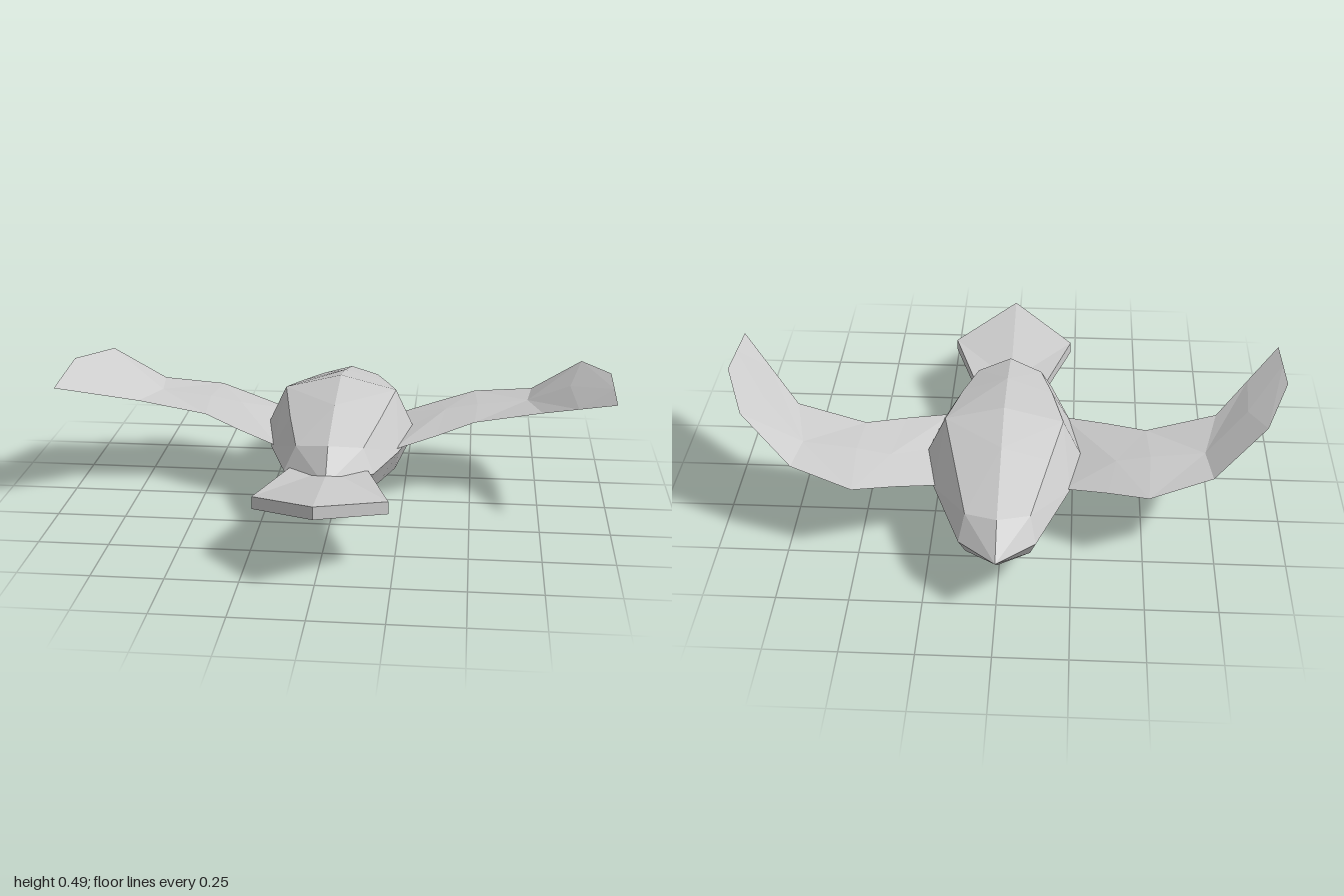
import * as THREE from 'three';

const MID_Y = 0.22;

// Flat-shaded mesh from a grid of rows; the quad diagonals alternate
function gridMesh(name, rows, doubleSided = false) {
  const pos = [];
  const tri = (a, b, c) => {
    if (a.equals(b) || b.equals(c) || a.equals(c)) return;
    for (const p of [a, b, c]) pos.push(p.x, p.y, p.z);
  };
  for (let i = 0; i < rows.length - 1; i++) {
    for (let j = 0; j < rows[i].length - 1; j++) {
      const a = rows[i][j], b = rows[i][j + 1], c = rows[i + 1][j + 1], d = rows[i + 1][j];
      if ((i + j) % 2 === 0) { tri(a, b, c); tri(a, c, d); }
      else { tri(a, b, d); tri(b, c, d); }
    }
  }
  const geo = new THREE.BufferGeometry();
  geo.setAttribute('position', new THREE.Float32BufferAttribute(pos, 3));
  geo.computeVertexNormals();
  const mesh = new THREE.Mesh(geo, new THREE.MeshStandardMaterial({
    color: 0xcccccc, flatShading: true,
    side: doubleSided ? THREE.DoubleSide : THREE.FrontSide,
  }));
  mesh.name = name;
  return mesh;
}

const V = (x, y, z) => new THREE.Vector3(x, y, z);

// Body: eight-sided rings from head to rump, closed by a point at each end
function makeBody() {
  // side x, side z, shoulder x, shoulder height, shoulder z, ridge height, ridge z
  const stations = [
    [0, -0.79, 0, 0, -0.79, 0, -0.79],
    [0.13, -0.68, 0.11, 0.08, -0.63, 0.097, -0.68],
    [0.24, -0.38, 0.167, 0.127, -0.38, 0.175, -0.38],
    [0.285, -0.19, 0.21, 0.16, -0.19, 0.213, -0.19],
    [0.235, 0.05, 0.165, 0.123, 0.05, 0.176, 0.06],
    [0.16, 0.28, 0.12, 0.085, 0.25, 0.108, 0.305],
    [0, 0.41, 0, 0, 0.41, 0, 0.41],
  ];
  const rings = stations.map(([sx, sz, hx, hy, hz, ry, rz]) => {
    const ring = [
      V(sx, MID_Y, sz), V(hx, MID_Y + hy, hz), V(0, MID_Y + ry, rz), V(-hx, MID_Y + hy, hz),
      V(-sx, MID_Y, sz), V(-hx, MID_Y - hy, hz), V(0, MID_Y - ry, rz), V(hx, MID_Y - hy, hz),
    ];
    return [...ring, ring[0]];
  });
  return gridMesh('body', rings);
}

// Wing: thin sheet of [leading, middle, trailing] points from root to tip
function makeWing(side) {
  const sections = [
    [[0.22, 0.225, -0.38], [0.25, 0.235, -0.17], [0.21, 0.228, 0.06]],
    [[0.37, 0.258, -0.44], [0.4, 0.28, -0.28], [0.37, 0.26, -0.02]],
    [[0.51, 0.285, -0.5], [0.52, 0.303, -0.28], [0.51, 0.29, -0.1]],
    [[0.73, 0.325, -0.43], [0.71, 0.325, -0.28], [0.76, 0.345, -0.07]],
    [[0.91, 0.472, -0.33], [0.86, 0.425, -0.16], [0.88, 0.41, 0.065]],
    [[1, 0.5, -0.09], [1, 0.488, 0.055], [1, 0.475, 0.2]],
  ];
  const rows = sections.map((s) => s.map(([x, y, z]) => V(side * x, y, z)));
  return gridMesh(side > 0 ? 'leftWing' : 'rightWing', rows, true);
}

// Tail: flared plate with a raised pointed tip
function makeTail() {
  const outline = [
    [0.14, 0.235, 0.29], [0.23, 0.24, 0.575], [0, 0.3, 0.785],
    [-0.23, 0.24, 0.575], [-0.14, 0.235, 0.29],
  ];
  const close = (pts) => [...pts, pts[0]];
  const top = close(outline.map(([x, y, z]) => V(x, y, z)));
  const thickness = [0.035, 0.045, 0.045, 0.045, 0.035];
  const bottom = close(outline.map(([x, y, z], i) => V(x, y - thickness[i], z)));
  const rootTop = top.map(() => V(0, 0.235, 0.29));
  const rootBottom = top.map(() => V(0, 0.2, 0.29));
  return gridMesh('tail', [rootTop, top, bottom, rootBottom], true);
}

export function createModel() {
  const group = new THREE.Group();
  group.name = 'flyingBird';
  group.add(makeBody(), makeTail());
  for (const side of [1, -1]) group.add(makeWing(side));
  return group;
}
